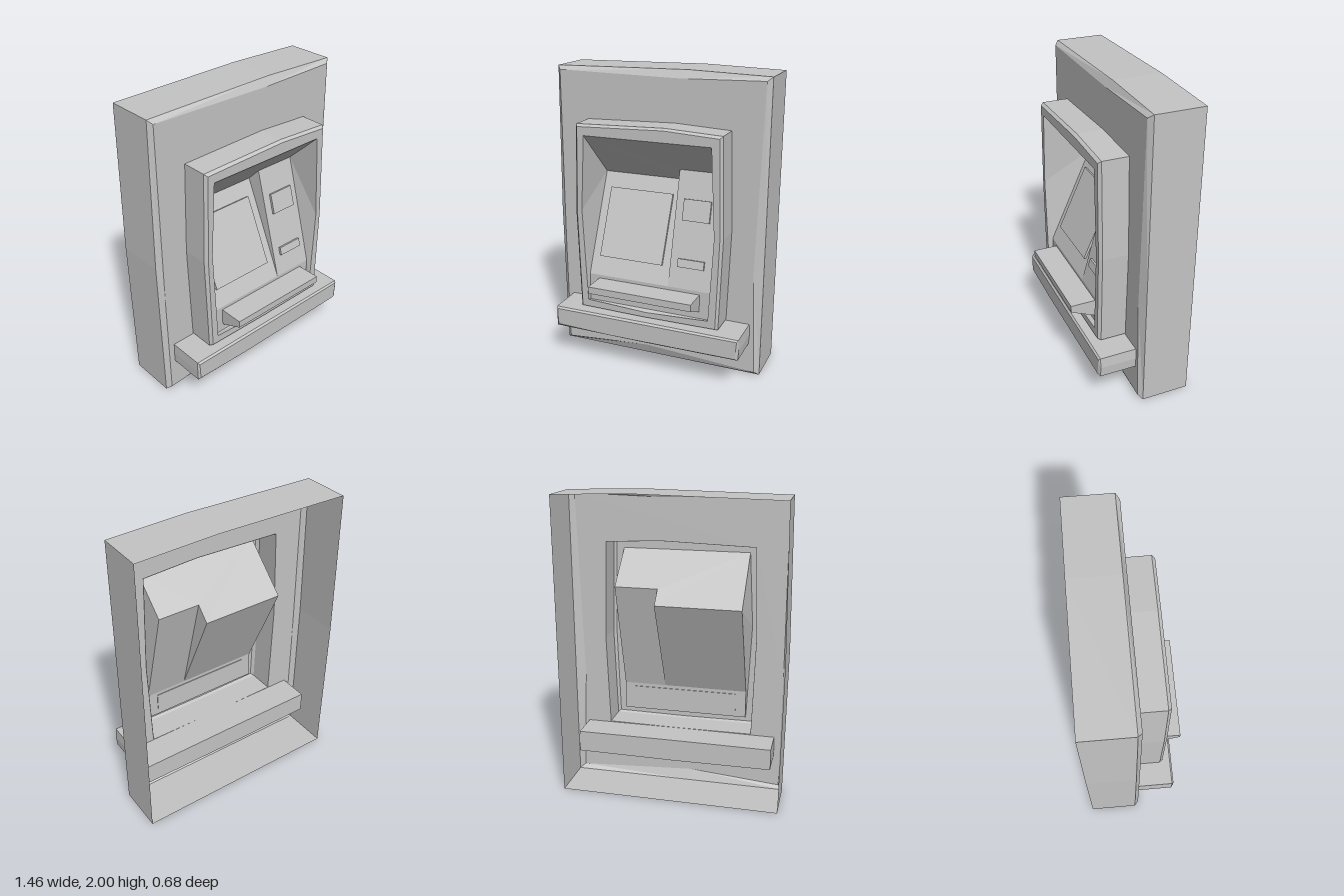
import * as THREE from 'three';

export function createModel() {
  const model = new THREE.Group();
  const grey = new THREE.MeshStandardMaterial({ color: 0xc4c4c4, side: THREE.DoubleSide, flatShading: true });
  grey.name = 'light grey';

  const add = (name, geometry) => {
    const mesh = new THREE.Mesh(geometry, grey);
    mesh.name = name;
    model.add(mesh);
    return mesh;
  };

  // Convex polygons of [x, y, z] corners, fanned into triangles
  const facets = (polygons) => {
    const out = [];
    for (const p of polygons) {
      for (let i = 1; i < p.length - 1; i++) out.push(...p[0], ...p[i], ...p[i + 1]);
    }
    const g = new THREE.BufferGeometry();
    g.setAttribute('position', new THREE.Float32BufferAttribute(out, 3));
    g.computeVertexNormals();
    return g;
  };

  // Joins successive closed loops, each anticlockwise seen from the front
  const bands = (loops) => {
    const quads = [];
    for (let k = 0; k < loops.length - 1; k++) {
      const a = loops[k], b = loops[k + 1], n = a.length;
      for (let i = 0; i < n; i++) {
        const j = (i + 1) % n;
        quads.push([a[i], a[j], b[j], b[i]]);
      }
    }
    return quads;
  };
  const atZ = (points, z) => points.map(([x, y]) => [x, y, z]);

  // Loops run: bottom left, bottom, bottom right, right, top right, top, top left, left
  const wallOuter = [[-0.72, 0], [-0.08, 0], [0.73, 0], [0.73, 0.8], [0.73, 1.985], [0.2, 2], [-0.715, 1.985], [-0.73, 1]];
  const wallFace = [[-0.69, 0.02], [-0.08, 0.07], [0.7, 0.025], [0.668, 0.72], [0.7, 1.96], [0.15, 1.947], [-0.69, 1.96], [-0.695, 0.75]];
  const frameOuter = [[-0.49, 0.38], [0, 0.377], [0.495, 0.38], [0.515, 1], [0.495, 1.65], [0.12, 1.668], [-0.49, 1.65], [-0.51, 1.05]];
  const frameFace = [[-0.475, 0.39], [0, 0.385], [0.48, 0.39], [0.498, 1], [0.48, 1.635], [0.12, 1.655], [-0.475, 1.635], [-0.492, 1.05]];
  const opening = [[-0.43, 0.44], [0, 0.42], [0.43, 0.44], [0.46, 1], [0.43, 1.58], [0.12, 1.622], [-0.43, 1.58], [-0.458, 1.08]];

  // Open-backed housing with bevelled front edge
  add('housing', facets(bands([atZ(wallOuter, -0.33), atZ(wallOuter, -0.012), atZ(wallFace, 0.014)])));

  // Front plate with a hole for the frame
  const toVectors = (points) => points.map(([x, y]) => new THREE.Vector2(x, y));
  const plate = new THREE.Shape(toVectors(wallFace));
  plate.holes.push(new THREE.Path(toVectors(frameOuter)));
  add('frontPlate', new THREE.ShapeGeometry(plate)).position.z = 0.014;

  // Raised surround
  const rim = atZ(opening, 0.205);
  add('surround', facets(bands([atZ(frameOuter, 0.01), atZ(frameOuter, 0.185), atZ(frameFace, 0.205), rim])));

  // Recess: sloping main panel on the left, shallower column on the right
  const W = 0.43, S = 0.14, bend = 0.62, zFront = 0.17;
  const main = { top: 1.27, slope: 0.446 };
  const column = { top: 1.36, slope: 0.27 };
  const point = (x, y, panel) => [x, y, zFront - panel.slope * (y - bend)];
  const foot = [[-W, 0.43, zFront], [W, 0.43, zFront]];
  const knee = [-W, S, W].map((x) => [x, bend, zFront]);
  const mainTop = [point(-W, main.top, main), point(S, main.top, main)];
  const columnTop = [point(S, column.top, column), point(W, column.top, column)];
  const [bl, b, br, r, tr, t, tl, l] = rim;

  add('lowerPanel', facets([[foot[0], foot[1], knee[2], knee[0]]]));
  add('mainPanel', facets([[knee[0], knee[1], mainTop[1], mainTop[0]]]));
  add('columnPanel', facets([[knee[1], knee[2], columnTop[1], columnTop[0]]]));
  add('columnSide', facets([[knee[1], columnTop[0], mainTop[1]]]));
  add('recessFloor', facets([[b, foot[1], foot[0]], [bl, b, foot[0]], [b, br, foot[1]]]));
  add('recessLeftSide', facets([[br, r, knee[2]], [br, knee[2], foot[1]], [r, columnTop[1], knee[2]], [r, tr, columnTop[1]]]));
  add('recessRightSide', facets([[l, bl, knee[0]], [bl, foot[0], knee[0]], [l, knee[0], mainTop[0]], [l, mainTop[0], tl]]));
  add('hood', facets([
    [tl, mainTop[0], mainTop[1]], [tl, mainTop[1], columnTop[0]],
    [tl, columnTop[0], tr], [columnTop[0], columnTop[1], tr], [tl, tr, t],
  ]));

  // Flat plates lying on the sloping panels
  const fitting = (name, panel, x0, x1, y0, y1) => {
    const angle = Math.atan(panel.slope);
    const mesh = add(name, new THREE.BoxGeometry(x1 - x0, (y1 - y0) / Math.cos(angle), 0.016));
    mesh.position.set(...point((x0 + x1) / 2, (y0 + y1) / 2, panel));
    mesh.position.z += 0.009;
    mesh.rotation.x = -angle;
  };
  fitting('screen', main, -0.37, 0.08, 0.74, 1.175);
  fitting('slotPlate', column, 0.195, 0.38, 1.05, 1.185);
  fitting('readerPlate', column, 0.195, 0.375, 0.757, 0.81);

  // Wedge-shaped tray, its side profile swept across x
  const profile = [[0.165, 0.597], [0.335, 0.597], [0.335, 0.55], [0.165, 0.475]];
  const across = (x) => profile.map(([z, y]) => [x, y, z]);
  const trayLeft = across(0.36), trayRight = across(-0.36);
  add('tray', facets([...bands([trayLeft, trayRight]), [...trayLeft], [...trayRight].reverse()]));

  // Long ledge passing through the front plate
  const ledgeOuter = [[-0.65, 0.23], [0, 0.226], [0.655, 0.23], [0.66, 0.3], [0.655, 0.372], [0, 0.374], [-0.65, 0.372], [-0.652, 0.3]];
  const ledgeFace = [[-0.635, 0.245], [-0.25, 0.234], [0.635, 0.24], [0.642, 0.3], [0.648, 0.362], [0, 0.36], [-0.64, 0.36], [-0.64, 0.3]];
  const back = atZ(ledgeOuter, -0.19), face = atZ(ledgeFace, 0.269);
  add('ledge', facets([...bands([back, atZ(ledgeOuter, 0.257), face]), face, [...back].reverse()]));

  // The whole unit is turned very slightly
  model.rotation.y = -0.014;
  return model;
}
